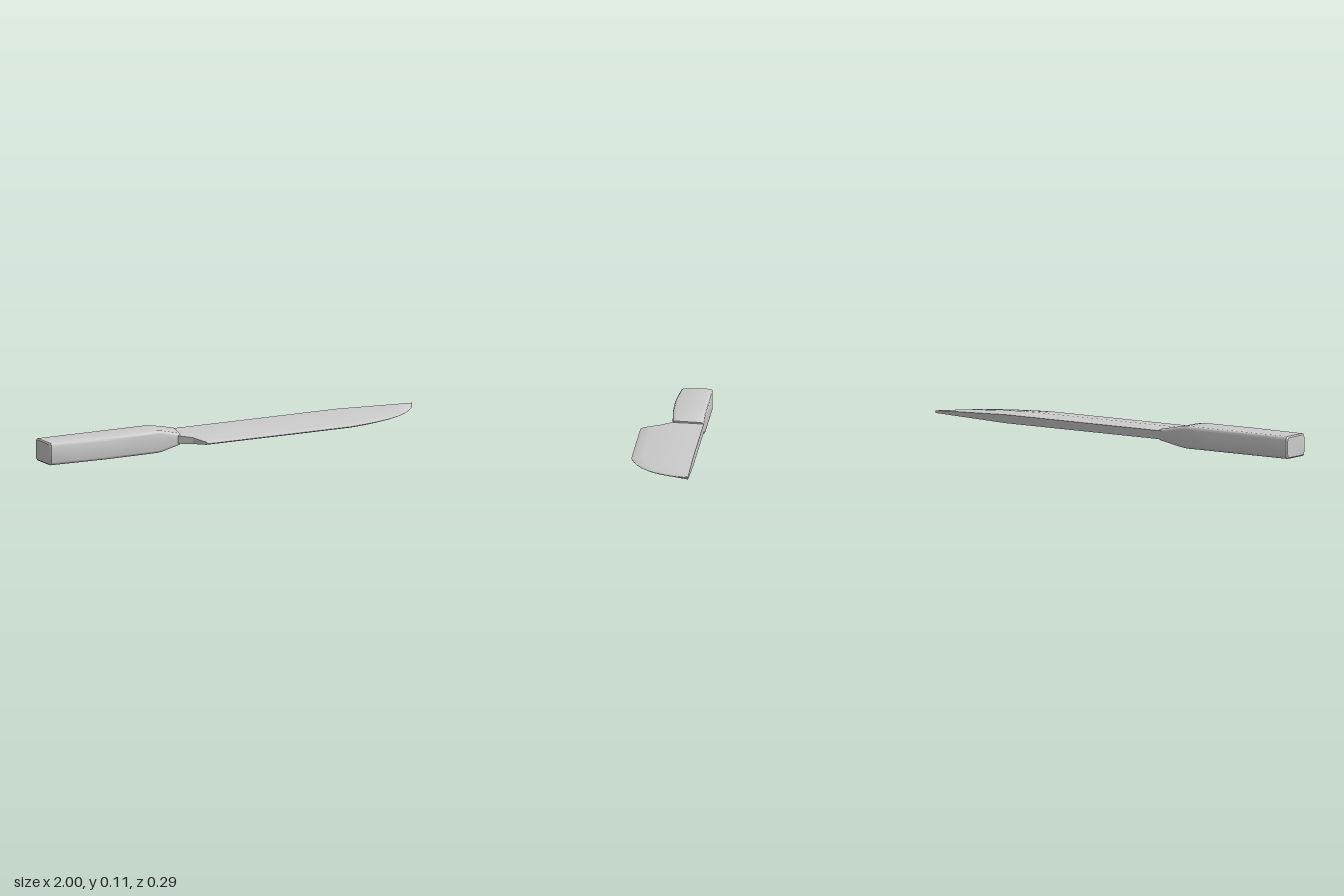
import * as THREE from 'three';
import { toCreasedNormals } from 'three/addons/utils/BufferGeometryUtils.js';

const MID = 0.053; // height of the knife's middle plane
const BACK = -0.147; // z of the spine

// Mirrors an upper half-section [x, z, halfThickness] (back to front) into a closed ring.
function ring(upper) {
  const top = upper.map(([x, z, h]) => [x, MID + h, z]);
  const bottom = upper.map(([x, z, h]) => [x, MID - h, z]).reverse();
  return [...top, ...bottom];
}

// Skins rings along x and closes both ends with strips.
function loft(rings, crease) {
  const n = rings[0].length;
  const index = [];
  const quad = (a, b, c, d) => index.push(a, b, c, a, c, d);
  for (let i = 0; i < rings.length - 1; i++) {
    for (let j = 0; j < n; j++) {
      const k = (j + 1) % n;
      quad(i * n + j, i * n + k, (i + 1) * n + k, (i + 1) * n + j);
    }
  }
  const last = (rings.length - 1) * n;
  for (let j = 0; j < n / 2 - 1; j++) {
    quad(n - 1 - j, n - 2 - j, j + 1, j);
    quad(last + j, last + j + 1, last + n - 2 - j, last + n - 1 - j);
  }
  const geometry = new THREE.BufferGeometry();
  geometry.setAttribute('position', new THREE.Float32BufferAttribute(rings.flat(2), 3));
  geometry.setIndex(index);
  return toCreasedNormals(geometry, crease);
}

// Handle section: a rectangle with rounded corners, its end optionally slanted.
function handleRing([x, front, half, inset = 0, slant = 0]) {
  const back = BACK + inset;
  const f = front - inset;
  const h = half - inset;
  const r = 0.014;
  const points = [];
  for (let i = 0; i <= 3; i++) {
    const a = (i / 3) * Math.PI / 2;
    points.push([back + r * (1 - Math.cos(a)), h - r * (1 - Math.sin(a))]);
  }
  for (let i = 0; i <= 3; i++) {
    const a = (i / 3) * Math.PI / 2;
    points.push([f - r * (1 - Math.sin(a)), h - r * (1 - Math.cos(a))]);
  }
  return ring(points.map(([z, y]) => [x - slant * (z - back) / (f - back), z, y]));
}

// Blade section: thick at the spine, thinning to a ground cutting edge.
const ROWS = [[0, 1], [0.25, 1], [0.5, 0.95], [0.68, 0.75], [0.82, 0.55], [0.955, 0.33], [1, 0.03]];
function bladeRing([x, edge], heel) {
  const half = 0.02 - 0.014 * THREE.MathUtils.clamp((x - 0.6) / 0.4, 0, 1);
  return ring(ROWS.map(([t, k], i) => [heel ? heel[i] : x, BACK + t * (edge - BACK), half * k]));
}

export function createModel() {
  const group = new THREE.Group();
  const material = new THREE.MeshStandardMaterial({ color: 0xcccccc });

  // Handle: x, front z, half thickness, inset, slant
  const handle = new THREE.Mesh(loft([
    [-1, 0, 0.053, 0.006],
    [-0.994, 0.001, 0.053],
    [-0.85, 0.008, 0.053],
    [-0.7, 0.013, 0.053],
    [-0.55, 0.011, 0.053],
    [-0.42, 0.007, 0.053, 0, 0.01],
    [-0.385, 0.005, 0.049, 0, 0.015],
    [-0.27, 0.001, 0.027, 0, 0.04],
  ].map(handleRing), 0.6), material);
  handle.name = 'handle';
  group.add(handle);

  // Blade: x and z of the cutting edge; the heel is notched below the handle
  const heel = [-0.33, -0.33, -0.325, -0.272, -0.26, -0.245, -0.24];
  const edge = [
    [-0.2, 0.147], [0.2, 0.147], [0.52, 0.146], [0.6, 0.131], [0.68, 0.111], [0.76, 0.083],
    [0.83, 0.047], [0.885, 0.006], [0.925, -0.036], [0.96, -0.077], [0.985, -0.115], [1, -0.144],
  ];
  const blade = new THREE.Mesh(loft([
    bladeRing([-0.24, 0.147], heel),
    ...edge.map((point) => bladeRing(point)),
  ], 0.5), material);
  blade.name = 'blade';
  group.add(blade);

  return group;
}
